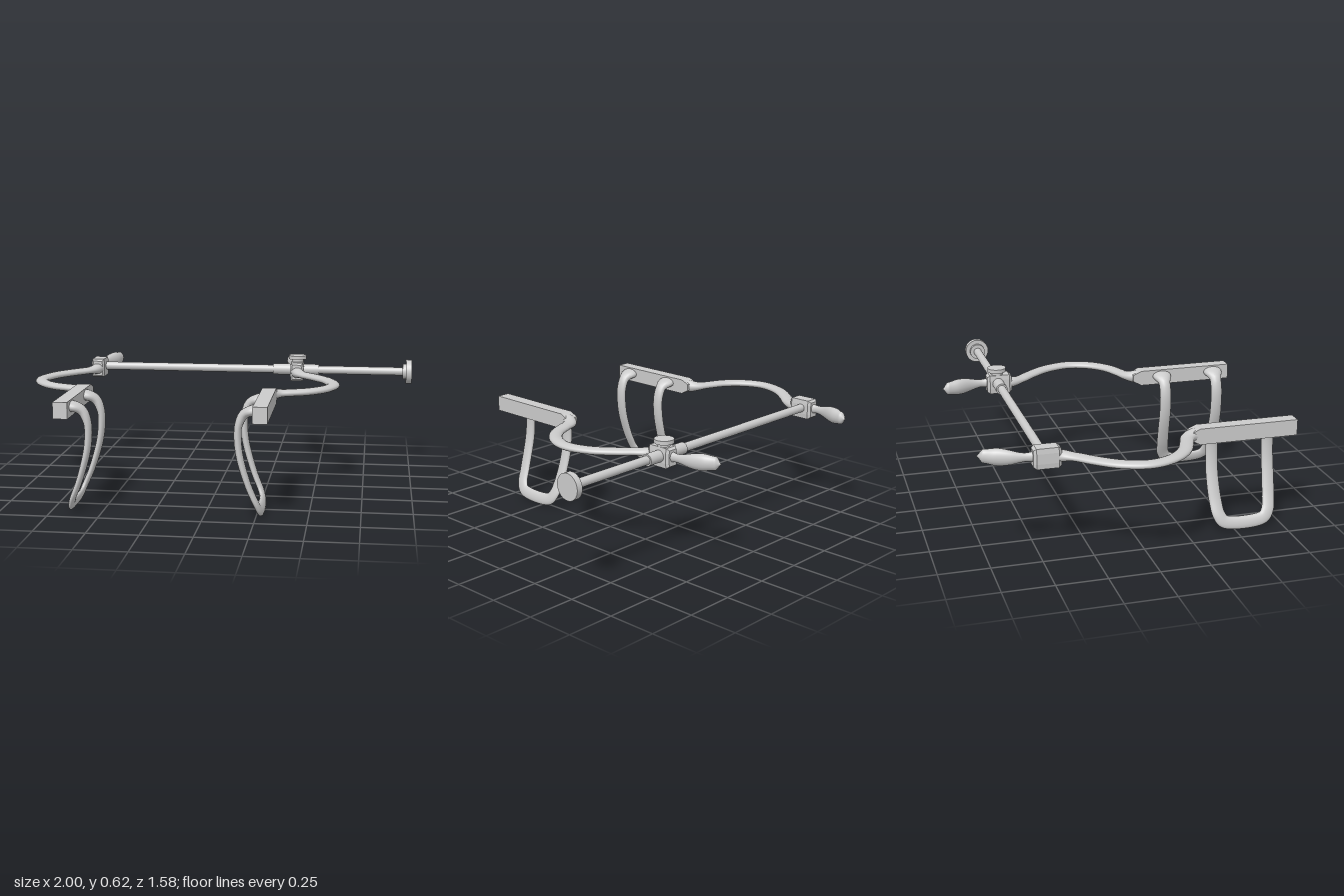
import * as THREE from 'three';

const mat = new THREE.MeshStandardMaterial({ color: 0xcccccc });
const MID = -0.19; // x of the plane between the two arms
const V = (x, y, z) => new THREE.Vector3(x, y, z);

function add(parent, name, geo) {
  const m = new THREE.Mesh(geo, mat);
  m.name = name;
  parent.add(m);
  return m;
}

// Sweeps an ellipse along a path; frame(t) gives { p, up, w, h } (half width, half height)
function sweep(frame, steps, sides = 16) {
  const pos = [], idx = [];
  for (let i = 0; i <= steps; i++) {
    const t = i / steps, { p, up, w, h } = frame(t);
    const T = frame(Math.min(1, t + 0.004)).p.clone().sub(frame(Math.max(0, t - 0.004)).p).normalize();
    const side = T.clone().cross(up).normalize();
    const n = side.clone().cross(T);
    for (let j = 0; j < sides; j++) {
      const a = (j / sides) * Math.PI * 2;
      const q = p.clone().addScaledVector(side, Math.cos(a) * w).addScaledVector(n, Math.sin(a) * h);
      pos.push(q.x, q.y, q.z);
      if (i < steps) {
        const k = (j + 1) % sides, r = i * sides, s = r + sides;
        idx.push(r + j, s + j, s + k, r + j, s + k, r + k);
      }
    }
  }
  const g = new THREE.BufferGeometry();
  g.setAttribute('position', new THREE.Float32BufferAttribute(pos, 3));
  g.setIndex(idx);
  g.computeVertexNormals();
  return g;
}

// Piecewise linear lookup in [t, value] pairs
function ramp(t, pairs) {
  for (let i = 1; i < pairs.length; i++) {
    const [a, va] = pairs[i - 1], [b, vb] = pairs[i];
    if (t <= b) return THREE.MathUtils.lerp(va, vb, THREE.MathUtils.smoothstep(t, a, b));
  }
  return pairs[pairs.length - 1][1];
}

// Cylinder lying along x between two ends
function rodX(parent, name, x0, x1, r) {
  const g = new THREE.CylinderGeometry(r, r, x1 - x0, 32).rotateZ(Math.PI / 2);
  return add(parent, name, g.translate((x0 + x1) / 2, 0.545, -0.485));
}

// One side of the frame; s = 1 for left, -1 for right, u is the distance from MID
function buildArm(s) {
  const arm = new THREE.Group();
  const X = (u) => MID + s * u;

  // Curved arm
  const path = new THREE.CatmullRomCurve3([
    [0.47, 0.32], [0.475, 0.262], [0.505, 0.225], [0.565, 0.2], [0.66, 0.155], [0.74, 0.07],
    [0.775, -0.04], [0.74, -0.17], [0.66, -0.28], [0.6, -0.345], [0.567, -0.4], [0.56, -0.47],
  ].map(([u, z]) => V(X(u), 0.537, z)));
  add(arm, 'curvedArm', sweep((t) => ({
    p: path.getPoint(t), up: V(0, 1, 0), w: 0.034,
    h: ramp(t, [[0, 0.034], [0.06, 0.034], [0.25, 0.018], [0.82, 0.018], [0.95, 0.03]]),
  }), 90));

  // Jaw bar with a wedge end that meets the arm
  const side = new THREE.Shape([
    [0.79, 0.495], [0.79, 0.575], [0.29, 0.575], [0.245, 0.555], [0.245, 0.52], [0.29, 0.495],
  ].map(([z, y]) => new THREE.Vector2(z, y)));
  const bar = new THREE.ExtrudeGeometry(side, { depth: 0.07, bevelEnabled: false });
  add(arm, 'jawBar', bar.rotateY(-Math.PI / 2).translate(X(0.47) + 0.035, 0, 0));

  // Loop blade: a U drawn on a curved sheet
  const sheet = new THREE.CatmullRomCurve3([
    [0.47, 0.54], [0.425, 0.54], [0.385, 0.52], [0.362, 0.47], [0.357, 0.42],
    [0.367, 0.32], [0.41, 0.17], [0.447, 0.08], [0.46, 0.04],
  ].map(([u, y]) => V(X(u), y, 0)));
  const half = [[0, 0.147], [0.12, 0.147], [0.35, 0.147], [0.6, 0.147], [0.8, 0.14], [0.92, 0.128], [0.98, 0.1]];
  const loop = new THREE.CatmullRomCurve3([
    ...half.map(([d, z]) => V(d, z, 0)), V(1, 0, 0),
    ...half.slice().reverse().map(([d, z]) => V(d, -z, 0)),
  ], false, 'centripetal');
  add(arm, 'loopBlade', sweep((t) => {
    const q = loop.getPoint(t), d = THREE.MathUtils.clamp(q.x, 0, 1);
    const p = sheet.getPointAt(d), tan = sheet.getTangentAt(d);
    p.z = 0.552 + q.y;
    return {
      p, up: V(-tan.y, tan.x, 0),
      w: ramp(d, [[0, 0.055], [0.08, 0.05], [0.17, 0.031], [1, 0.033]]),
      h: ramp(d, [[0, 0.03], [0.12, 0.024], [0.3, 0.018], [1, 0.014]]),
    };
  }, 120));

  // Chamfered block the rod passes through
  const oct = new THREE.Shape([
    [-0.024, -0.04], [0.024, -0.04], [0.026, -0.024], [0.026, 0.024],
    [0.024, 0.04], [-0.024, 0.04], [-0.026, 0.024], [-0.026, -0.024],
  ].map(([x, y]) => new THREE.Vector2(x, y)));
  const block = new THREE.ExtrudeGeometry(oct, { depth: 0.105, bevelSize: 0.01, bevelThickness: 0.014, bevelSegments: 1 });
  add(arm, 'rodBlock', block.translate(X(0.56), 0.54, -0.528));

  // Leaf-shaped finger lever
  const lever = new THREE.CatmullRomCurve3([
    V(X(0.56), 0.545, -0.52), V(X(0.56), 0.545, -0.57), V(X(0.55), 0.545, -0.63),
    V(X(0.525), 0.547, -0.7), V(X(0.505), 0.549, -0.755), V(X(0.498), 0.55, -0.79),
  ]);
  add(arm, 'fingerLever', sweep((t) => ({
    p: lever.getPoint(t), up: V(0, 1, 0),
    w: ramp(t, [[0, 0.022], [0.2, 0.015], [0.62, 0.03], [0.82, 0.022], [1, 0.0005]]),
    h: ramp(t, [[0, 0.026], [0.2, 0.021], [0.58, 0.042], [0.8, 0.034], [1, 0.0005]]),
  }), 40));
  return arm;
}

export function createModel() {
  const model = new THREE.Group();
  model.name = 'spreaderFrame';
  for (const s of [1, -1]) {
    const arm = buildArm(s);
    arm.name = s > 0 ? 'leftArm' : 'rightArm';
    model.add(arm);
  }

  // Cross rod, sliding sleeve and end stop
  rodX(model, 'crossRod', -0.76, 0.97, 0.022);
  rodX(model, 'slidingSleeve', 0.235, 0.49, 0.03);
  rodX(model, 'stopCollar', 0.95, 0.97, 0.042);
  rodX(model, 'endStop', 0.968, 1.0, 0.065);

  // Clamp screw on the sliding block
  add(model, 'screwNeck', new THREE.CylinderGeometry(0.032, 0.032, 0.04, 32).translate(0.37, 0.59, -0.485));
  add(model, 'screwKnob', new THREE.CylinderGeometry(0.049, 0.049, 0.02, 32).translate(0.37, 0.615, -0.485));
  return model;
}
